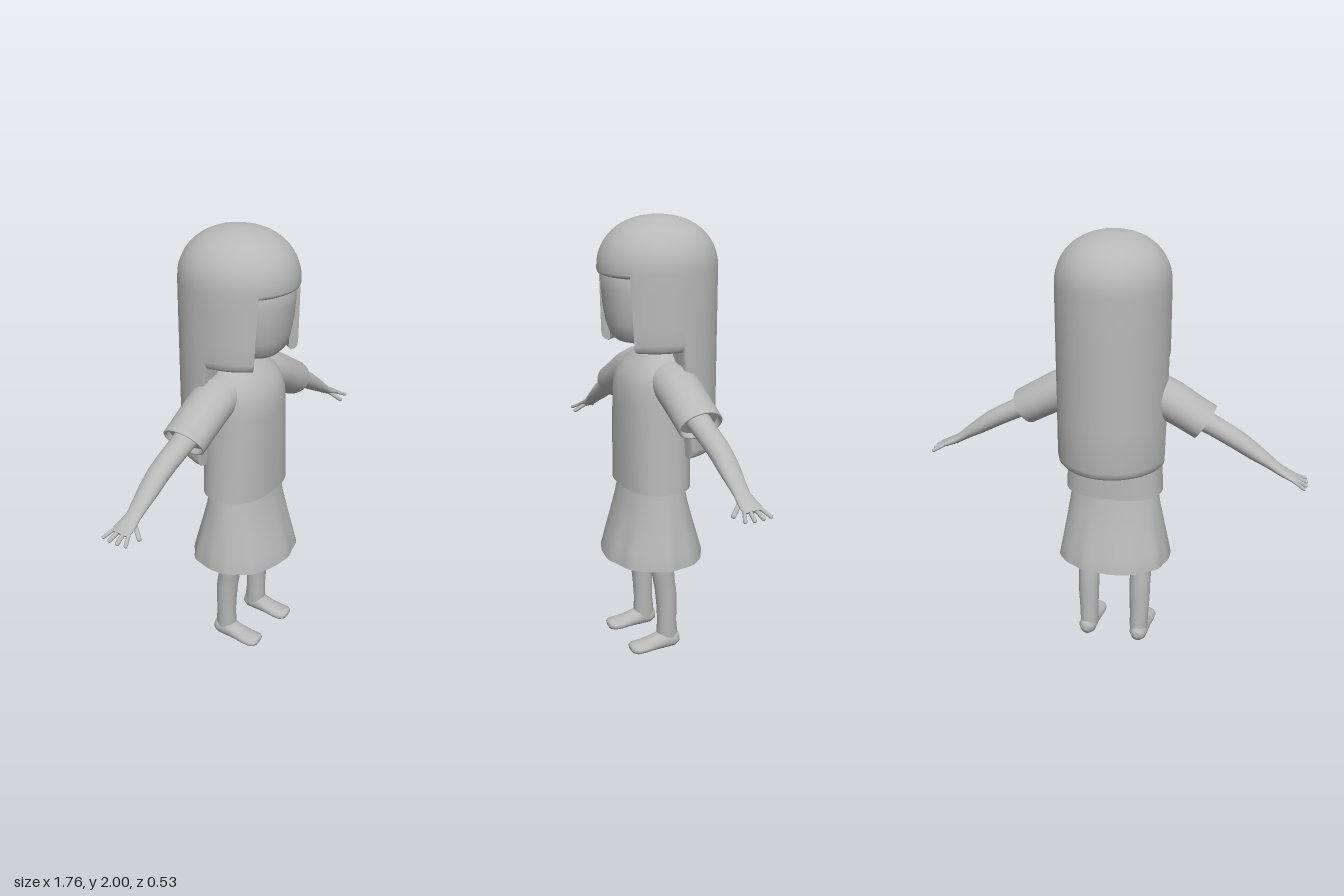
import * as THREE from 'three';
import { toCreasedNormals } from 'three/addons/utils/BufferGeometryUtils.js';

const V = (x, y, z) => new THREE.Vector3(x, y, z);

// Skin closed rows of points into one surface
function skin(rows) {
  const n = rows[0].length, pos = [], idx = [];
  rows.forEach(row => row.forEach(p => pos.push(p.x, p.y, p.z)));
  for (let j = 0; j < rows.length - 1; j++) {
    for (let i = 0; i < n; i++) {
      const a = j * n + i, b = j * n + (i + 1) % n;
      idx.push(a, b, b + n, a, b + n, a + n);
    }
  }
  const g = new THREE.BufferGeometry();
  g.setAttribute('position', new THREE.Float32BufferAttribute(pos, 3));
  g.setIndex(idx);
  g.computeVertexNormals();
  return g;
}

// Rings [x, y, z, radius across, radius along v, ripple] stacked along d, capped at both ends
function loft(rings, d, v, { n = 32, power = 2 } = {}) {
  const u = v.clone().cross(d);
  const round = t => Math.sign(t) * Math.pow(Math.abs(t), 2 / power);
  const first = rings[0], last = rings[rings.length - 1];
  const cap = r => [r[0], r[1], r[2], 0, 0];
  const all = [cap(first), first, ...rings, last, cap(last)];
  return skin(all.map(([x, y, z, a, b, ripple = 0]) =>
    Array.from({ length: n }, (_, i) => {
      const t = i / n * Math.PI * 2;
      const k = 1 + ripple * (Math.cos(9 * t) + 0.6 * Math.sin(14 * t));
      return V(x, y, z).addScaledVector(u, a * k * round(Math.cos(t)))
        .addScaledVector(v, b * k * round(Math.sin(t)));
    })));
}

// Upright loft from [y, z centre, half depth, half width, x centre, ripple]
function upright(list, options) {
  return loft(list.map(([y, z, rz, rx, x = 0, ripple = 0]) => [x, y, z, rz, rx, ripple]),
    V(0, 1, 0), V(1, 0, 0), options);
}

// Long hair: dome with a short fringe, side locks and a long back
function hairGeometry() {
  const half = [0, 8, 16, 24, 32, 39, 43, 50, 58, 66, 74, 82, 90, 100, 108, 116, 124, 132, 140, 148, 156, 164, 172, 180];
  const angles = [...half.slice(1, -1).reverse().map(a => -a), ...half];
  const rows = [];
  for (const angle of angles) {
    const a = Math.abs(angle), t = angle * Math.PI / 180;
    const bottom = a < 40 ? 1.755 : a < 95 ? 1.445 : 0.965;
    const inner = a < 95 ? 0.84 : 0.45;
    const round = a < 40 ? 0.02 : 0.04;
    const profile = [[inner, 1.78], [inner, bottom + 0.01], [0.87, bottom], [0.94, bottom + round * 0.12], [0.985, bottom + round * 0.45], [1, bottom + round]];
    for (let k = 1; k <= 4; k++) profile.push([1, THREE.MathUtils.lerp(bottom + round, 1.78, k / 4)]);
    for (let k = 1; k <= 12; k++) {
      const e = k / 12 * Math.PI / 2;
      profile.push([Math.pow(Math.cos(e), 0.9), 1.78 + 0.22 * Math.pow(Math.sin(e), 0.95)]);
    }
    profile.forEach(([r, y], j) => {
      (rows[j] ??= []).push(V(0.25 * r * Math.sin(t), y, 0.265 * r * Math.cos(t)));
    });
  }
  return toCreasedNormals(skin(rows), 0.8);
}

export function createModel() {
  const model = new THREE.Group();
  model.name = 'girl';
  const grey = new THREE.MeshStandardMaterial({ color: 0xb8b8b8 });
  grey.name = 'plain grey';
  const add = (name, geometry, parent = model) => {
    const mesh = new THREE.Mesh(geometry, grey);
    mesh.name = name;
    parent.add(mesh);
    return mesh;
  };

  // Head and hair
  add('hair', hairGeometry());
  add('head', upright([
    [1.465, 0.09, 0.06, 0.06], [1.475, 0.09, 0.095, 0.095], [1.5, 0.085, 0.125, 0.125], [1.55, 0.07, 0.158, 0.15],
    [1.62, 0.06, 0.18, 0.168], [1.7, 0.05, 0.198, 0.175], [1.78, 0.04, 0.21, 0.175], [1.86, 0.02, 0.17, 0.15]
  ], { power: 2.3 }));
  add('neck', upright([
    [1.36, 0.01, 0.07, 0.09], [1.42, 0.015, 0.06, 0.078], [1.45, 0.025, 0.06, 0.075], [1.52, 0.04, 0.07, 0.085]
  ]));

  // Shirt body
  add('shirt', upright([
    [0.81, 0.035, 0.155, 0.225], [0.9, 0.035, 0.155, 0.22], [1.05, 0.035, 0.155, 0.212], [1.2, 0.035, 0.154, 0.205],
    [1.28, 0.033, 0.15, 0.203], [1.33, 0.028, 0.133, 0.196], [1.37, 0.02, 0.112, 0.175], [1.4, 0.014, 0.088, 0.135],
    [1.42, 0.012, 0.068, 0.1], [1.43, 0.012, 0.06, 0.08]
  ], { n: 48, power: 2.3 }));

  // Flared skirt with soft folds
  add('skirt', upright([
    [0.49, 0.035, 0.2, 0.24], [0.46, 0.035, 0.218, 0.258, 0, 0.012], [0.46, 0.035, 0.225, 0.265, 0, 0.012],
    [0.53, 0.035, 0.206, 0.252, 0, 0.01], [0.62, 0.035, 0.18, 0.235, 0, 0.006], [0.72, 0.035, 0.152, 0.216, 0, 0.002],
    [0.83, 0.035, 0.13, 0.198]
  ], { n: 96, power: 2.1 }));

  for (const s of [1, -1]) {
    const side = s > 0 ? 'left' : 'right';
    const along = V(0.84 * s, -0.54, 0).normalize(), z = V(0, 0, 1);
    const limb = (rings, options) => loft(rings.map(([x, ...r]) => [x * s, ...r]), along, z, options);

    // Sleeve, with a recessed cuff opening
    add(side + 'Sleeve', limb([
      [0.07, 1.335, 0.01, 0.07, 0.09], [0.16, 1.31, 0.01, 0.093, 0.1], [0.25, 1.272, 0.01, 0.09, 0.101],
      [0.34, 1.222, 0.01, 0.085, 0.1], [0.415, 1.18, 0.01, 0.083, 0.1], [0.415, 1.18, 0.01, 0.074, 0.09],
      [0.395, 1.193, 0.01, 0.072, 0.088]
    ]));

    // Arm and flattened hand
    const arm = new THREE.Group();
    arm.name = side + 'Arm';
    model.add(arm);
    add(side + 'Forearm', limb([
      [0.36, 1.208, 0.01, 0.05, 0.055], [0.45, 1.167, 0.008, 0.045, 0.052], [0.53, 1.127, 0.004, 0.043, 0.05],
      [0.58, 1.099, 0.003, 0.041, 0.049], [0.64, 1.06, 0.004, 0.035, 0.047], [0.7, 1.021, 0.007, 0.026, 0.04],
      [0.745, 0.99, 0.008, 0.02, 0.036], [0.78, 0.972, 0.008, 0.018, 0.042], [0.81, 0.959, 0.007, 0.015, 0.047],
      [0.832, 0.95, 0.006, 0.009, 0.038]
    ], { n: 24 }), arm);

    // Fingers and thumb
    const digit = (name, p, q, r) => {
      const a = V(p[0] * s, p[1], p[2]), b = V(q[0] * s, q[1], q[2]), dir = b.clone().sub(a);
      const mesh = add(name, new THREE.CapsuleGeometry(r, dir.length(), 4, 10), arm);
      mesh.position.copy(a).lerp(b, 0.5);
      mesh.quaternion.setFromUnitVectors(V(0, 1, 0), dir.normalize());
    };
    [-0.032, -0.011, 0.012, 0.034].forEach((f, i) =>
      digit('finger', [0.81, 0.958, 0.006 + f], [0.872 - 0.25 * Math.abs(f), 0.932, 0.006 + f * 1.75], i % 3 ? 0.009 : 0.008));
    digit('thumb', [0.765, 0.97, 0.03], [0.795, 0.932, 0.076], 0.01);

    // Leg
    add(side + 'Leg', upright([
      [0.04, 0.01, 0.045, 0.042, 0.125 * s], [0.09, 0.014, 0.05, 0.044, 0.125 * s], [0.14, 0.015, 0.045, 0.045, 0.126 * s],
      [0.22, 0.017, 0.047, 0.049, 0.127 * s], [0.3, 0.022, 0.05, 0.05, 0.127 * s], [0.36, 0.032, 0.051, 0.051, 0.127 * s],
      [0.44, 0.043, 0.055, 0.055, 0.129 * s], [0.6, 0.05, 0.06, 0.06, 0.129 * s]
    ], { n: 24 }));

    // Foot
    const foot = [
      [-0.046, 0.045, 0.012, 0.014], [-0.038, 0.044, 0.03, 0.032], [-0.015, 0.045, 0.042, 0.043], [0.04, 0.046, 0.043, 0.044],
      [0.085, 0.04, 0.044, 0.035], [0.14, 0.034, 0.049, 0.027], [0.18, 0.035, 0.049, 0.026], [0.198, 0.036, 0.038, 0.02],
      [0.205, 0.036, 0.018, 0.01]
    ];
    add(side + 'Foot', loft(foot.map(([fz, y, rx, ry]) => [0.128 * s, y, fz, rx, ry]), z, V(0, 1, 0), { n: 24 }));
  }
  return model;
}
